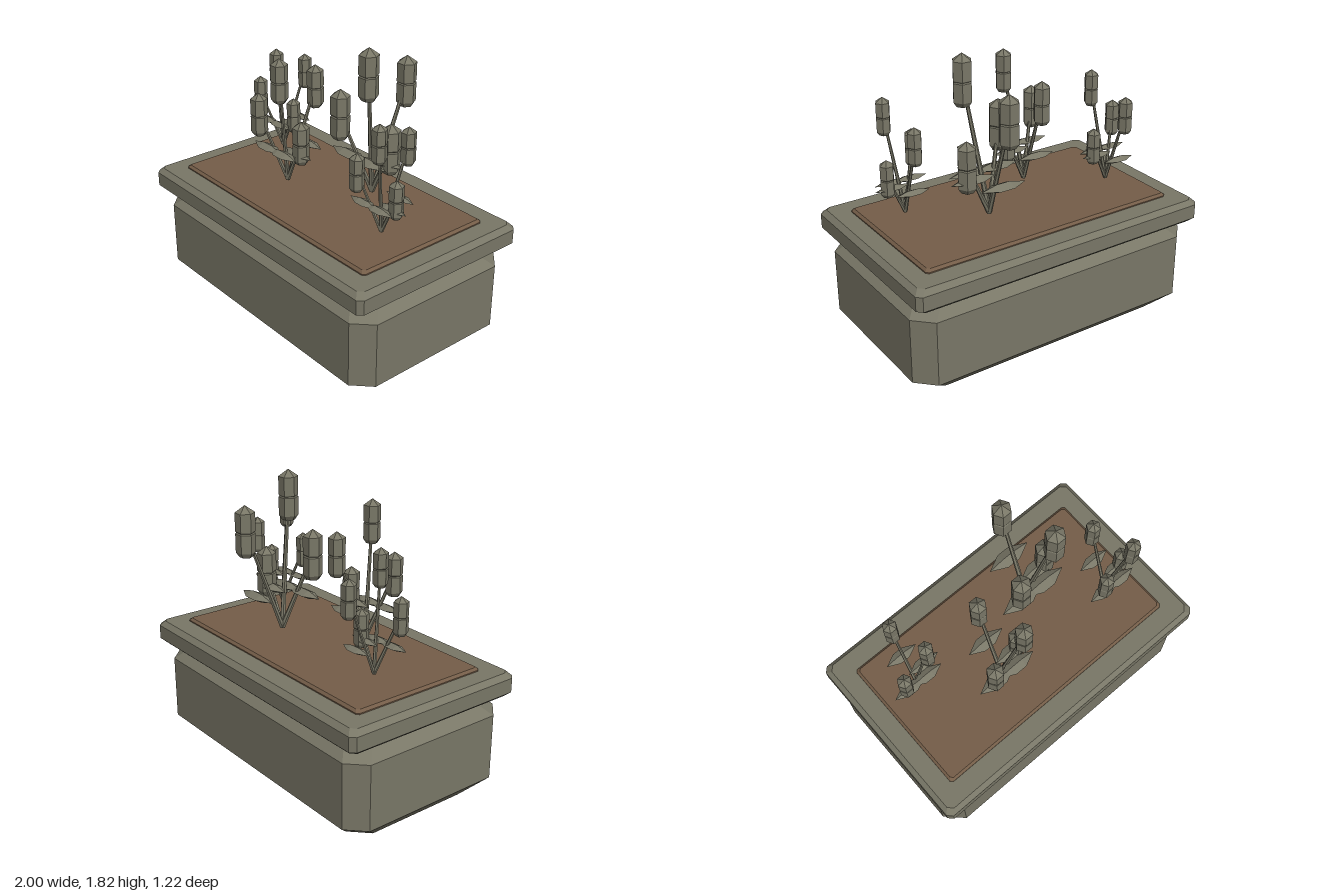
import * as THREE from 'three';

const stone = new THREE.MeshStandardMaterial({ color: 0x797767, flatShading: true });
stone.name = 'greyOlive';
const earth = new THREE.MeshStandardMaterial({ color: 0x745d48, flatShading: true });
earth.name = 'earthBrown';

// Closed block from stacked corner-cut rectangles: levels of [y, halfX, halfZ]
function cutBlock(levels, cut) {
  const pos = [];
  const rings = levels.map(([y, hx, hz]) => [
    [hx, y, hz - cut], [hx, y, cut - hz], [hx - cut, y, -hz], [cut - hx, y, -hz],
    [-hx, y, cut - hz], [-hx, y, hz - cut], [cut - hx, y, hz], [hx - cut, y, hz],
  ]);
  const tri = (a, b, c) => pos.push(...a, ...b, ...c);
  for (let k = 0; k < rings.length - 1; k++) {
    const lo = rings[k], up = rings[k + 1];
    for (let i = 0; i < 8; i++) {
      const j = (i + 1) % 8;
      tri(lo[i], lo[j], up[j]);
      tri(lo[i], up[j], up[i]);
    }
  }
  const bottom = rings[0], top = rings[rings.length - 1];
  for (let i = 1; i < 7; i++) {
    tri(top[0], top[i], top[i + 1]);
    tri(bottom[0], bottom[i + 1], bottom[i]);
  }
  const geo = new THREE.BufferGeometry();
  geo.setAttribute('position', new THREE.Float32BufferAttribute(pos, 3));
  geo.computeVertexNormals();
  return geo;
}

function lathe(points, sides, start) {
  return new THREE.LatheGeometry(points.map(([r, y]) => new THREE.Vector2(r, y)), sides, start);
}

function add(parent, name, geo, mat) {
  const mesh = new THREE.Mesh(geo, mat);
  mesh.name = name;
  parent.add(mesh);
  return mesh;
}

// Six-sided flower spike with a seam around its middle
const budGeo = lathe([
  [0, -0.155], [0.04, -0.155], [0.06, -0.125], [0.06, -0.012], [0.054, -0.005],
  [0.06, 0.002], [0.06, 0.115], [0, 0.158],
], 6, Math.PI / 6);

// Flat pointed leaf lying along x
const leafGeo = lathe([[0, -0.15], [0.052, -0.045], [0.052, 0.045], [0, 0.15]], 4, 0);
leafGeo.rotateZ(Math.PI / 2);
leafGeo.scale(1, 0.5, 1);

// Spike centres relative to the foot of a full-size plant
const buds = [
  [-0.15, 0.485, 0.125], [0.02, 0.655, -0.24], [0.09, 0.803, 0.125], [0.15, 0.33, -0.005],
];

function makePlant(x, z, scale) {
  const plant = new THREE.Group();
  plant.name = 'plant';
  for (const [bx, by, bz] of buds) {
    // Stem leaning from the foot to the spike
    const dir = new THREE.Vector3(bx, by, bz);
    const length = dir.length() - 0.1;
    const stemGeo = new THREE.CylinderGeometry(0.011, 0.017, length, 6);
    stemGeo.translate(0, length / 2, 0);
    const stem = add(plant, 'stem', stemGeo, stone);
    stem.quaternion.setFromUnitVectors(new THREE.Vector3(0, 1, 0), dir.normalize());

    add(plant, 'flowerSpike', budGeo, stone).position.set(bx, by, bz);
    add(plant, 'leaf', leafGeo, stone).position.set(bx * 0.72, 0.235, bz * 0.72);
  }
  plant.position.set(x, 0.855, z);
  plant.scale.setScalar(scale);
  return plant;
}

export function createModel() {
  const model = new THREE.Group();
  model.name = 'planter';

  // Trough, rim and soil
  add(model, 'trough', cutBlock([
    [0, 0.855, 0.44], [0.13, 0.98, 0.573], [0.54, 0.98, 0.573], [0.64, 0.875, 0.47],
  ], 0.108), stone);
  add(model, 'rim', cutBlock([
    [0.635, 0.97, 0.582], [0.662, 1, 0.611], [0.752, 1, 0.611], [0.783, 0.97, 0.582],
  ], 0.03), stone);
  add(model, 'soil', cutBlock([
    [0.65, 0.858, 0.46], [0.79, 0.858, 0.46], [0.805, 0.843, 0.445],
  ], 0.015), earth);

  // Row of plants
  const spots = [[-0.625, -0.148, 0.73], [-0.2, 0.145, 0.865], [0.25, -0.145, 1], [0.65, 0.145, 0.73]];
  for (const [x, z, scale] of spots) model.add(makePlant(x, z, scale));

  return model;
}
